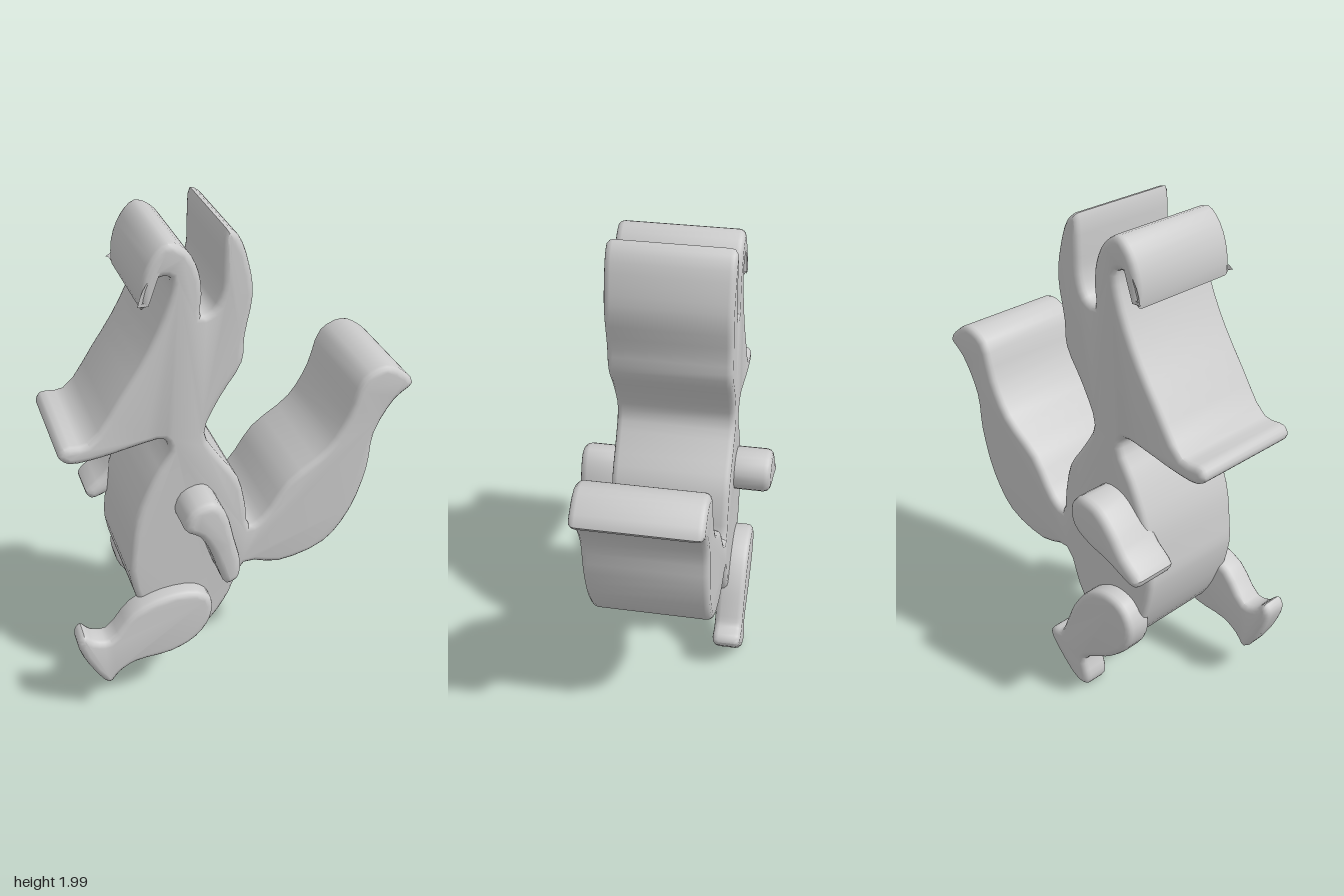
import * as THREE from 'three';
import { toCreasedNormals } from 'three/addons/utils/BufferGeometryUtils.js';

const material = new THREE.MeshStandardMaterial({ color: 0xcccccc });

// Smooth closed outline, extruded from zBack to zFront with rounded edges that stay inside the outline
function slab(name, outline, zBack, zFront, bevel, steps = 3) {
  const curve = new THREE.CatmullRomCurve3(
    outline.map(([x, y]) => new THREE.Vector3(x, y, 0)), true, 'centripetal');
  const points = curve.getPoints(outline.length * steps).slice(0, -1);
  const shape = new THREE.Shape(points.map((p) => new THREE.Vector2(p.x, p.y)));
  const geometry = new THREE.ExtrudeGeometry(shape, {
    depth: zFront - zBack - 2 * bevel,
    bevelEnabled: true,
    bevelThickness: bevel,
    bevelSize: bevel,
    bevelOffset: -bevel,
    bevelSegments: 3,
  });
  geometry.translate(0, 0, zBack + bevel);
  const mesh = new THREE.Mesh(toCreasedNormals(geometry, 0.7), material);
  mesh.name = name;
  return mesh;
}

// Head, trunk and tail share one silhouette
const bodyOutline = [
  // crest
  [-0.37, 1.73], [-0.37, 1.82], [-0.33, 1.92], [-0.27, 1.97], [-0.2, 1.93], [-0.16, 1.85], [-0.15, 1.765],
  // notch and ear
  [-0.155, 1.685], [-0.11, 1.70], [-0.08, 1.775], [-0.075, 1.87], [-0.06, 1.995], [-0.015, 1.965],
  [0.025, 1.855], [0.04, 1.74], [0.01, 1.58], [0, 1.475],
  // nape and back
  [-0.085, 1.34], [-0.145, 1.2], [-0.09, 1.09], [-0.01, 0.97], [0.02, 0.84], [0.035, 0.745],
  // tail
  [0.09, 0.775], [0.195, 0.92], [0.355, 1.04], [0.435, 1.17], [0.49, 1.325], [0.585, 1.365], [0.655, 1.33],
  [0.7, 1.275], [0.63, 1.215], [0.55, 1.075], [0.53, 0.92], [0.465, 0.73], [0.355, 0.595], [0.16, 0.54],
  // rump and belly
  [0.015, 0.565], [-0.05, 0.43], [-0.12, 0.325], [-0.2, 0.265], [-0.31, 0.275], [-0.4, 0.4], [-0.455, 0.6],
  [-0.45, 0.7], [-0.425, 0.865], [-0.35, 1.035], [-0.285, 1.15],
  // snout
  [-0.305, 1.2], [-0.41, 1.19], [-0.545, 1.165], [-0.665, 1.16], [-0.7, 1.195], [-0.68, 1.23], [-0.59, 1.235],
  // brow and inside of the crest
  [-0.465, 1.4], [-0.35, 1.58], [-0.275, 1.755], [-0.265, 1.84], [-0.305, 1.845], [-0.345, 1.8],
];

const frontLegOutline = [
  [-0.665, 0.41], [-0.625, 0.375], [-0.565, 0.365], [-0.465, 0.475], [-0.335, 0.525], [-0.2, 0.52],
  [-0.145, 0.47], [-0.15, 0.38], [-0.21, 0.295], [-0.315, 0.245], [-0.465, 0.23], [-0.53, 0.195],
  [-0.575, 0.15], [-0.635, 0.225], [-0.685, 0.335], [-0.69, 0.385],
];

const backLegOutline = [
  [-0.31, 0.235], [-0.22, 0.18], [-0.16, 0.135], [-0.18, 0.055], [-0.17, 0.01], [-0.115, 0.01],
  [-0.03, 0.075], [0.045, 0.17], [0.025, 0.2], [-0.02, 0.21], [-0.05, 0.27], [-0.1, 0.385],
  [-0.18, 0.485], [-0.28, 0.53], [-0.37, 0.51], [-0.42, 0.43], [-0.4, 0.33],
];

const frontArmOutline = [
  [-0.27, 0.88], [-0.245, 0.96], [-0.16, 0.985], [-0.11, 0.93], [-0.075, 0.8], [-0.05, 0.68],
  [-0.065, 0.615], [-0.11, 0.6], [-0.135, 0.655], [-0.17, 0.76], [-0.215, 0.84],
];

const backArmOutline = [
  [-0.53, 0.745], [-0.455, 0.815], [-0.39, 0.9], [-0.31, 0.97], [-0.22, 0.98], [-0.17, 0.92],
  [-0.19, 0.84], [-0.27, 0.79], [-0.37, 0.76], [-0.45, 0.725], [-0.51, 0.71],
];

export function createModel() {
  const group = new THREE.Group();
  group.name = 'flatAnimal';
  group.add(
    slab('body', bodyOutline, -0.245, 0.235, 0.025),
    slab('frontLeg', frontLegOutline, 0.19, 0.305, 0.025),
    slab('backLeg', backLegOutline, -0.32, -0.2, 0.025),
    slab('frontArm', frontArmOutline, 0.18, 0.39, 0.03),
    slab('backArm', backArmOutline, -0.395, -0.19, 0.03),
  );
  return group;
}
